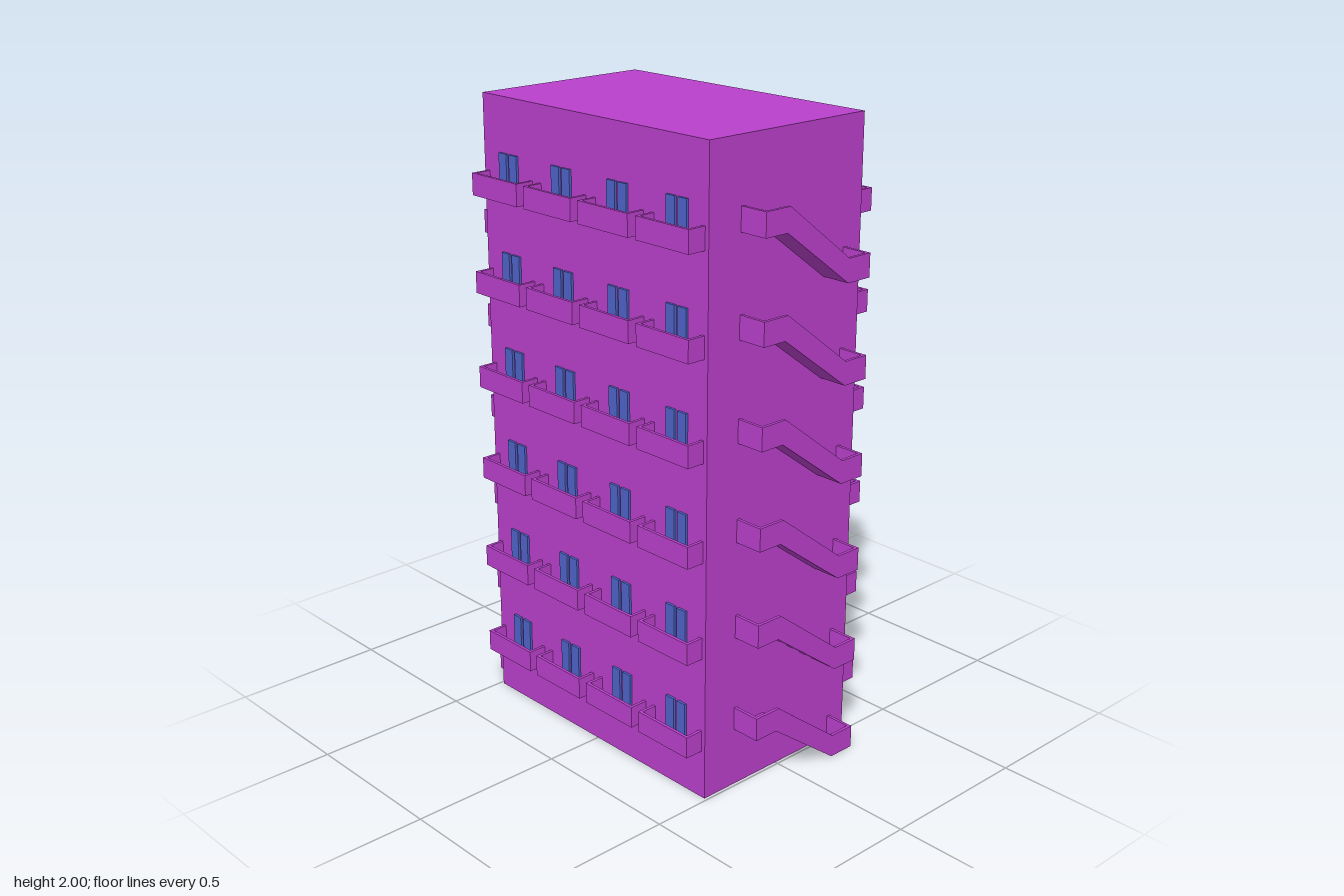
import * as THREE from 'three';

const FLOORS = 6, STEP_Y = 0.308;
const W = 0.49, D = 0.307; // half width and half depth of the tower
const T = 0.01; // thin wall thickness

const wallMat = new THREE.MeshStandardMaterial({ color: 0xba40cc, side: THREE.DoubleSide });
const glassMat = new THREE.MeshStandardMaterial({ color: 0x4f63c8 });

// Box given by its min and max corners
function box(name, x0, x1, y0, y1, z0, z1, mat = wallMat) {
  const geo = new THREE.BoxGeometry(x1 - x0, y1 - y0, z1 - z0);
  geo.translate((x0 + x1) / 2, (y0 + y1) / 2, (z0 + z1) / 2);
  const mesh = new THREE.Mesh(geo, mat);
  mesh.name = name;
  return mesh;
}

// Extrudes a (z, y) profile along x from x0 to x1
function slab(name, points, x0, x1) {
  const shape = new THREE.Shape(points.map(([z, y]) => new THREE.Vector2(z, y)));
  const geo = new THREE.ExtrudeGeometry(shape, { depth: x1 - x0, bevelEnabled: false });
  geo.rotateY(-Math.PI / 2).translate(x1, 0, 0);
  const mesh = new THREE.Mesh(geo, wallMat);
  mesh.name = name;
  return mesh;
}

// Open balcony tray with a two-leaf window behind it
function balcony() {
  const g = new THREE.Group();
  g.name = 'balcony';
  const h = 0.107, y0 = 0.157, y1 = 0.226, z1 = 0.368;
  g.add(
    box('balconyFloor', -h, h, y0, y0 + T, D, z1),
    box('balconyFront', -h, h, y0, y1, z1 - T, z1),
    box('balconySide', -h, -h + T, y0, y1, D, z1 - T),
    box('balconySide', h - T, h, y0, y1, D, z1 - T),
    box('windowLeaf', -0.042, -0.006, 0.165, 0.29, D - 0.008, D + 0.008, glassMat),
    box('windowLeaf', 0.006, 0.042, 0.165, 0.29, D - 0.008, D + 0.008, glassMat)
  );
  return g;
}

// Outside stair flight with a landing at each end, on the +x wall
function stair() {
  const g = new THREE.Group();
  g.name = 'stair';
  const x1 = 0.585, zLow = -0.245, zHigh = 0.185, rise = 0.19, h = 0.0735;
  const under = [[zLow, 0], [-0.155, 0], [0.1, rise], [zHigh, rise]];
  // Treads, running down from the upper landing
  const treads = [[zHigh, rise + T]];
  const n = 9;
  for (let i = n - 1; i >= 0; i--) {
    const z = -0.155 + i * 0.027;
    treads.push([z, T + (i + 1) * rise / n], [z, T + i * rise / n]);
  }
  treads.push([zLow, T]);
  const rail = [[zHigh, rise + h], [0.09, rise + h], [-0.157, h], [zLow, h]];
  g.add(
    slab('stairFlight', [...under, ...treads], W, x1 - T),
    slab('stairParapet', [...under, ...rail], x1 - T, x1),
    box('lowerEndWall', W, x1 - T, 0, h, zLow, zLow + T),
    box('upperEndWall', W, x1 - T, rise, rise + h, zHigh - T, zHigh)
  );
  return g;
}

export function createModel() {
  const model = new THREE.Group();
  model.name = 'apartmentBlock';

  // Hollow tower, open underneath
  const tower = box('tower', -W, W, 0, 2, -D, D);
  const idx = Array.from(tower.geometry.index.array);
  idx.splice(18, 6);
  tower.geometry.setIndex(idx);
  tower.geometry.clearGroups();
  model.add(tower);

  // One long side and one end per half; the second half is turned about y
  for (const side of ['front', 'back']) {
    const half = new THREE.Group();
    half.name = side + 'Half';
    if (side === 'back') half.rotation.y = Math.PI;
    for (let f = 0; f < FLOORS; f++) {
      const storey = new THREE.Group();
      storey.name = 'storey';
      storey.position.y = f * STEP_Y;
      for (let i = 0; i < 4; i++) {
        const b = balcony();
        b.position.x = (i - 1.5) * 0.246;
        storey.add(b);
      }
      storey.add(stair());
      half.add(storey);
    }
    model.add(half);
  }
  return model;
}
